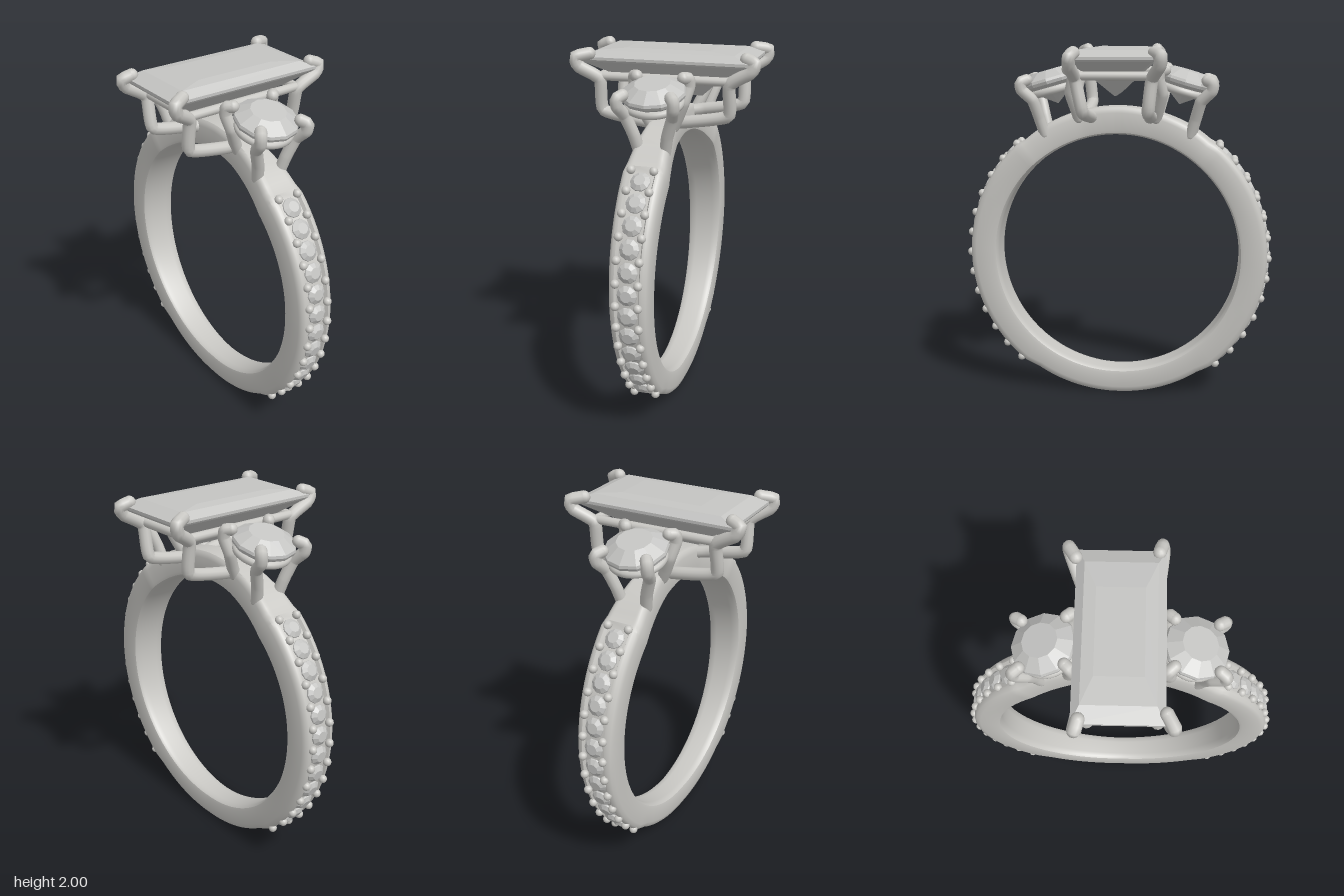
import * as THREE from 'three';
import { toCreasedNormals } from 'three/addons/utils/BufferGeometryUtils.js';

const CY = 0.825; // height of the ring's centre
const rad = THREE.MathUtils.degToRad;

// Joins closed cross-sections (arrays of [x, y, z]) into one surface
function loft(loops, wrap) {
  const n = loops[0].length, index = [];
  for (let i = 0; i < loops.length - (wrap ? 0 : 1); i++) {
    const p = i * n, q = ((i + 1) % loops.length) * n;
    for (let j = 0; j < n; j++) {
      const k = (j + 1) % n;
      index.push(p + j, q + j, q + k, p + j, q + k, p + k);
    }
  }
  if (!wrap) { // end caps
    const e = (loops.length - 1) * n;
    for (let j = 1; j < n - 1; j++) index.push(0, j + 1, j, e, e + j, e + j + 1);
  }
  const geo = new THREE.BufferGeometry();
  geo.setAttribute('position', new THREE.Float32BufferAttribute(loops.flat(2), 3));
  geo.setIndex(index);
  return geo;
}

function faceted(geo) {
  const flat = geo.toNonIndexed();
  flat.computeVertexNormals();
  return flat;
}

// Linear interpolation through [key, value] pairs
function along(table, t) {
  for (let i = 1; i < table.length; i++) {
    const [a, va] = table[i - 1], [b, vb] = table[i];
    if (t <= b) return va + (vb - va) * (t - a) / (b - a);
  }
  return table[table.length - 1][1];
}

function bandGeometry() {
  const width = [[-90, 0.076], [-52, 0.086], [0, 0.103], [48, 0.113], [60, 0.095], [75, 0.075], [90, 0.07]];
  const outer = [[-90, 0.825], [-56, 0.826], [-50, 0.842], [0, 0.842], [48, 0.842], [52, 0.832], [60, 0.838], [90, 0.84]];
  const groove = [[-90, 0], [-50, 0], [-48, 0.018], [48, 0.018], [50, 0], [90, 0]];
  const loops = [], N = 180;
  for (let i = 0; i < N; i++) {
    const a = i / N * Math.PI * 2;
    const lat = THREE.MathUtils.radToDeg(Math.asin(Math.sin(a)));
    const w = along(width, lat), R = along(outer, lat), d = along(groove, lat);
    const half = [[0.55, R - d], [0.64, R], [0.78, R - 0.002], [0.92, R - 0.013], [1, R - 0.035],
      [1, 0.712], [0.95, 0.696], [0.8, 0.687], [0.5, 0.685]];
    const back = half.map(([z, r]) => [-z, r]).reverse();
    loops.push([...half, ...back].map(([z, r]) => [r * Math.cos(a), CY + r * Math.sin(a), z * w]));
  }
  return toCreasedNormals(loft(loops, true), 0.6);
}

// Round brilliant with girdle radius r
function brilliant(r, crown, depth, sides) {
  const pts = [[0, -depth], [r * 0.97, -depth * 0.12], [r, 0], [r * 0.97, crown * 0.25], [r * 0.55, crown], [0, crown]];
  return faceted(new THREE.LatheGeometry(pts.map(p => new THREE.Vector2(...p)), sides));
}

export function createModel() {
  const ring = new THREE.Group();
  ring.name = 'ring';
  const metal = new THREE.MeshStandardMaterial({ color: 0xc8c7c3 });
  metal.name = 'metal';
  const gem = new THREE.MeshStandardMaterial({ color: 0xc4c4c2 });
  gem.name = 'gem';

  function add(parent, name, geo, mat, x = 0, y = 0, z = 0) {
    const m = new THREE.Mesh(geo, mat);
    m.name = name;
    m.position.set(x, y, z);
    parent.add(m);
    return m;
  }
  function group(name, parent = ring) {
    const g = new THREE.Group();
    g.name = name;
    parent.add(g);
    return g;
  }
  // Bent wire with rounded ends
  function wire(parent, name, pts, r) {
    const v = pts.map(p => new THREE.Vector3(...p));
    const g = group(name, parent);
    const curve = new THREE.CatmullRomCurve3(v, false, 'catmullrom', 0.25);
    add(g, 'wire', new THREE.TubeGeometry(curve, 40, r, 12), metal);
    for (const p of [v[0], v[v.length - 1]])
      add(g, 'wireEnd', new THREE.SphereGeometry(r, 12, 8), metal, p.x, p.y, p.z);
  }

  add(ring, 'band', bandGeometry(), metal);

  // Small stones and their beads down both sides of the band
  const smallStone = brilliant(0.054, 0.022, 0.03, 10);
  const bead = new THREE.SphereGeometry(0.023, 12, 8);
  for (const s of [1, -1]) {
    const row = group(s > 0 ? 'leftStoneRow' : 'rightStoneRow');
    for (let i = 0; i <= 12; i++) {
      const a = rad(48 - 8 * i), b = rad(44 - 8 * i);
      for (const z of [0.06, -0.06])
        add(row, 'bead', bead, metal, s * 0.845 * Math.cos(a), CY + 0.845 * Math.sin(a), z);
      if (i < 12) {
        const st = add(row, 'smallStone', smallStone, gem, s * 0.832 * Math.cos(b), CY + 0.832 * Math.sin(b), 0);
        st.rotation.z = s * (b - Math.PI / 2);
      }
    }
  }

  // Long step-cut centre stone: half width, height, half length
  const steps = [[0.006, 1.73, 0.16], [0.11, 1.83, 0.27], [0.215, 1.92, 0.445], [0.222, 1.93, 0.452],
    [0.222, 1.945, 0.452], [0.18, 1.978, 0.37], [0.12, 1.987, 0.23]];
  const stepLoops = steps.map(([x, y, z]) => [[-x, y, -z], [x, y, -z], [x, y, z], [-x, y, z]]);
  // reversed corner order with upward stacking keeps faces outward
  const centre = loft(stepLoops.map(l => l.reverse()), false);
  const idx = centre.getIndex();
  const pos = centre.getAttribute('position');
  // Turn any inward face outward, the stone being convex
  const mid = new THREE.Vector3(0, 1.9, 0), [A, B, C] = [0, 1, 2].map(() => new THREE.Vector3());
  for (let i = 0; i < idx.count; i += 3) {
    [A, B, C].forEach((v, k) => v.fromBufferAttribute(pos, idx.getX(i + k)));
    const normal = B.clone().sub(A).cross(C.clone().sub(A));
    if (normal.dot(A.clone().sub(mid)) < 0) {
      const t = idx.getX(i + 1);
      idx.setX(i + 1, idx.getX(i + 2));
      idx.setX(i + 2, t);
    }
  }
  add(ring, 'centreStone', faceted(centre), gem);

  // Centre setting: two prongs, repeated by a half turn, and a rectangular rail
  for (const turn of [0, Math.PI]) {
    const pair = group('centreProngPair');
    pair.rotation.y = turn;
    wire(pair, 'wideProng', [[0.17, 1.6, 0.02], [0.19, 1.615, 0.12], [0.19, 1.66, 0.34], [0.21, 1.83, 0.35],
      [0.255, 1.9, 0.45], [0.262, 1.95, 0.465], [0.225, 1.965, 0.4]], 0.034);
    wire(pair, 'narrowProng', [[-0.14, 1.6, 0.02], [-0.15, 1.615, 0.12], [-0.155, 1.66, 0.34], [-0.19, 1.83, 0.35],
      [-0.205, 1.9, 0.46], [-0.2, 1.945, 0.485], [-0.185, 1.965, 0.435]], 0.034);
    wire(pair, 'endRail', [[-0.19, 1.845, 0.345], [0.2, 1.845, 0.345]], 0.024);
    wire(pair, 'sideRail', [[0.2, 1.845, 0.345], [0.19, 1.845, -0.345]], 0.024);
  }

  // Tilted round side stones, each in a four-prong basket
  const sideStone = brilliant(0.17, 0.058, 0.135, 12);
  const basketRing = new THREE.TorusGeometry(0.135, 0.022, 10, 40).rotateX(Math.PI / 2);
  for (const s of [1, -1]) {
    const setting = group(s > 0 ? 'leftSetting' : 'rightSetting');
    const head = group('sideHead', setting);
    head.position.set(s * 0.375, 1.805, 0);
    head.rotation.z = -s * 0.28;
    add(head, 'sideStone', sideStone, gem);
    add(head, 'basketRing', basketRing, metal, 0, -0.055, 0);
    for (const z of [1, -1]) {
      const place = pts => pts.map(p => [s * p[0], p[1], z * p[2]]);
      wire(setting, 'outerProng', place([[0.405, 1.51, 0.07], [0.43, 1.6, 0.09], [0.46, 1.7, 0.125],
        [0.515, 1.755, 0.145], [0.522, 1.795, 0.148], [0.49, 1.81, 0.125]]), 0.032);
      wire(setting, 'innerProng', place([[0.215, 1.6, 0.06], [0.23, 1.66, 0.09], [0.25, 1.74, 0.125],
        [0.232, 1.82, 0.148], [0.24, 1.862, 0.148], [0.265, 1.868, 0.125]]), 0.032);
    }
  }
  return ring;
}
